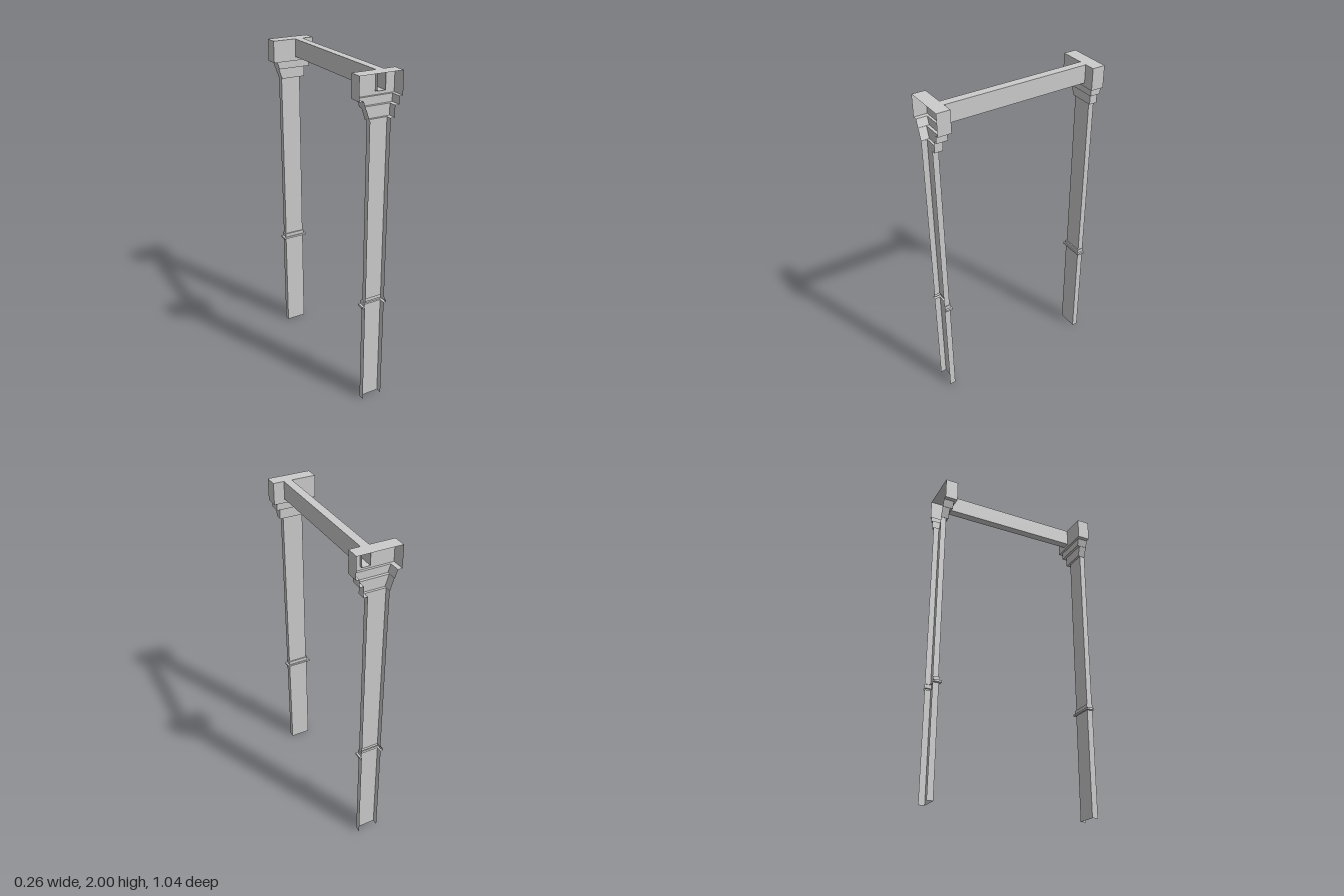
import * as THREE from 'three';

const material = new THREE.MeshStandardMaterial({ color: 0xcccccc, side: THREE.DoubleSide, flatShading: true });
const OUT = 0.522; // open outer side of each pilaster

// Skin a list of equal-length open cross-sections, bottom to top
function loft(name, sections) {
  const pos = [];
  for (let i = 0; i + 1 < sections.length; i++) {
    const a = sections[i], b = sections[i + 1];
    for (let j = 0; j + 1 < a.length; j++) {
      pos.push(...a[j], ...b[j + 1], ...a[j + 1], ...a[j], ...b[j], ...b[j + 1]);
    }
  }
  const geo = new THREE.BufferGeometry();
  geo.setAttribute('position', new THREE.Float32BufferAttribute(pos, 3));
  geo.computeVertexNormals();
  const mesh = new THREE.Mesh(geo, material);
  mesh.name = name;
  return mesh;
}

// Three-sided channel section: left wall, inner wall, right wall
const channel = ([y, xl, xr, zi]) => [[xl, y, OUT], [xl, y, zi], [xr, y, zi], [xr, y, OUT]];

function createPilaster(name) {
  const g = new THREE.Group();
  g.name = name;

  // Hollow shafts below and above the collar
  g.add(loft('lowerShaft', [[0, -0.067, 0.06, 0.485], [0.655, -0.067, 0.06, 0.485]].map(channel)));
  g.add(loft('upperShaft', [[0.69, -0.064, 0.06, 0.487], [1.76, -0.064, 0.06, 0.487]].map(channel)));

  // Thin collar moulding
  g.add(loft('collar', [
    [0.655, -0.067, 0.06, 0.485], [0.655, -0.085, 0.076, 0.474],
    [0.667, -0.085, 0.076, 0.474], [0.667, -0.071, 0.064, 0.48],
    [0.69, -0.071, 0.064, 0.48], [0.69, -0.064, 0.06, 0.487],
  ].map(channel)));

  // Corbelled steps: plain slope on the -x side, stepped elsewhere
  g.add(loft('capitalSteps', [
    [1.76, -0.064, 0.06, 0.487], [1.76, -0.066, 0.085, 0.473],
    [1.825, -0.088, 0.085, 0.473], [1.825, -0.09, 0.11, 0.456],
    [1.87, -0.105, 0.11, 0.456], [1.87, -0.131, 0.13, 0.442],
    [1.89, -0.131, 0.13, 0.442],
  ].map(channel)));

  // Top block walls either side of the beam opening
  const zi = 0.442;
  g.add(loft('capitalLeftWall', [1.89, 2].map(y => [[-0.131, y, OUT], [-0.131, y, zi], [0.013, y, zi]])));
  g.add(loft('capitalRightWall', [1.89, 2].map(y => [[0.065, y, zi], [0.13, y, zi], [0.13, y, OUT]])));
  g.add(loft('capitalTop', [OUT, zi].map(z => [[-0.131, 2, z], [0.13, 2, z]])));
  return g;
}

export function createModel() {
  const model = new THREE.Group();
  model.name = 'portalFrame';

  // Mirrored pair of pilasters
  const front = createPilaster('frontPilaster');
  const back = createPilaster('backPilaster');
  back.scale.z = -1;
  model.add(front, back);

  // Hollow lintel beam, open at both ends
  const ring = z => [[0.015, 1.892, z], [0.064, 1.892, z], [0.064, 1.999, z], [0.015, 1.999, z], [0.015, 1.892, z]];
  model.add(loft('beam', [ring(0.46), ring(-0.46)]));
  return model;
}
